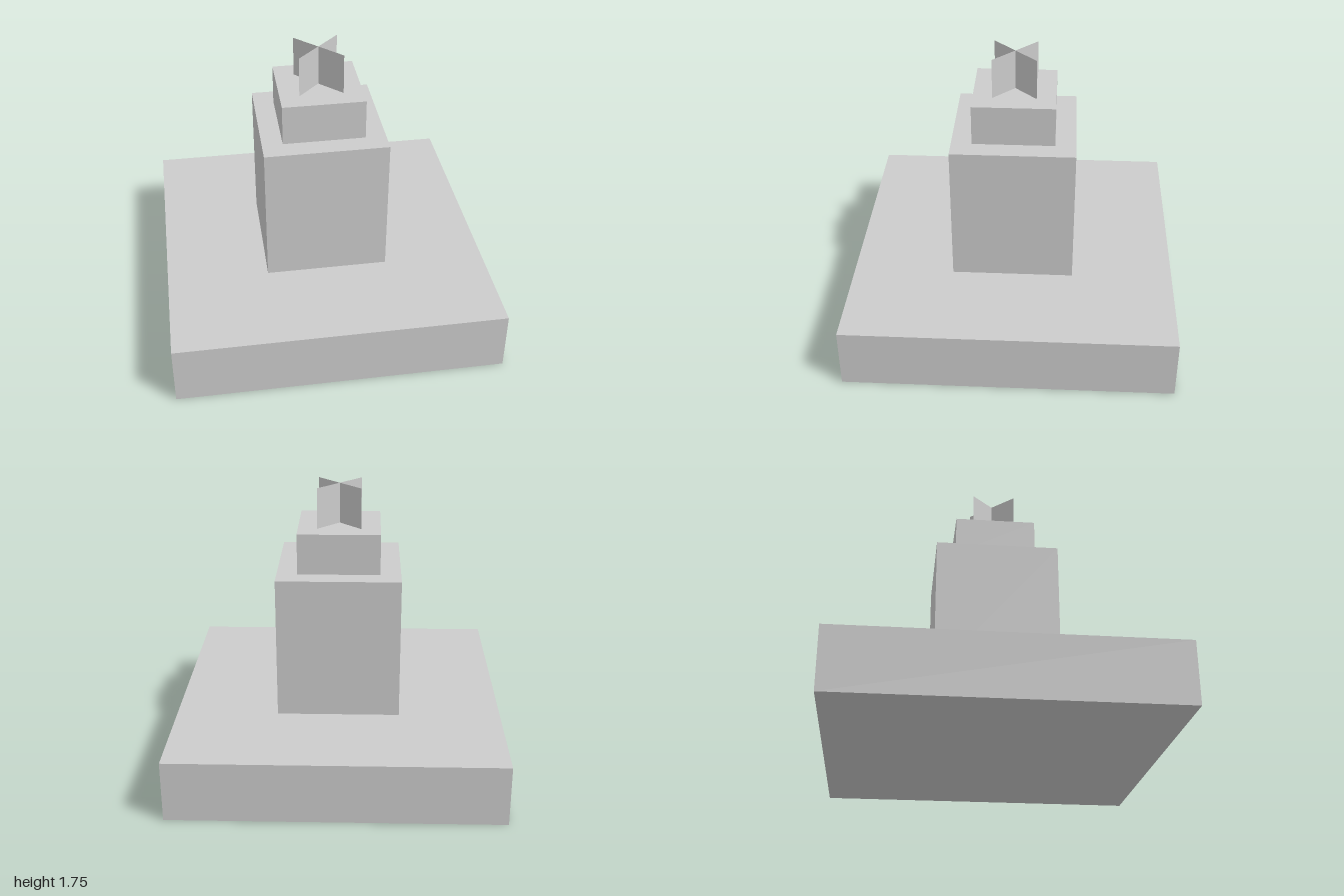
import * as THREE from 'three';

export function createModel() {
  const model = new THREE.Group();
  const solid = new THREE.MeshStandardMaterial({ color: 0xcccccc, flatShading: true });
  const sheet = new THREE.MeshStandardMaterial({ color: 0xcccccc, flatShading: true, side: THREE.DoubleSide });

  // Square blocks stacked from the ground up: name, width, height
  let y = 0;
  for (const [name, width, height] of [
    ['base', 2, 0.375],
    ['column', 0.75, 0.875],
    ['cap', 0.5, 0.25],
  ]) {
    const block = new THREE.Mesh(new THREE.BoxGeometry(width, height, width), solid);
    block.name = name;
    block.position.y = y + height / 2;
    model.add(block);
    y += height;
  }

  // Two thin upright sheets crossed on the diagonals
  const crossedSheets = new THREE.Group();
  crossedSheets.name = 'crossedSheets';
  crossedSheets.position.y = y + 0.125;
  for (const side of [-1, 1]) {
    const blade = new THREE.Mesh(new THREE.PlaneGeometry(0.375, 0.25), sheet);
    blade.name = side < 0 ? 'rightSheet' : 'leftSheet';
    blade.rotation.y = side * Math.PI / 4;
    crossedSheets.add(blade);
  }
  model.add(crossedSheets);

  return model;
}
